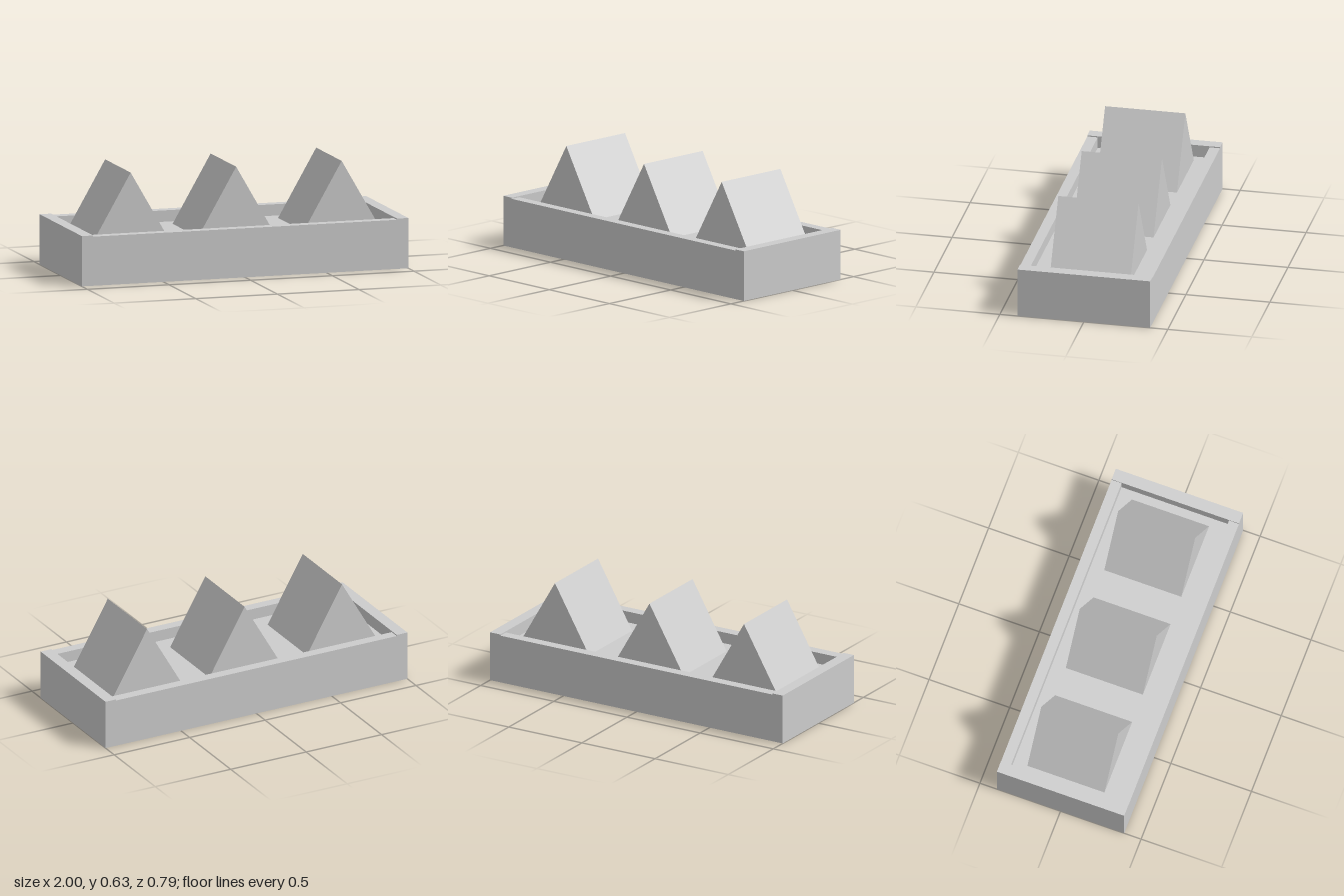
import * as THREE from 'three';

export function createModel() {
  const model = new THREE.Group();
  const grey = new THREE.MeshStandardMaterial({ color: 0xcccccc });
  grey.name = 'light grey';

  const halfX = 1, halfZ = 0.395, innerX = 0.93, innerZ = 0.333;
  const floorY = 0.223, endY = 0.297, sideY = 0.29;

  function box(name, x0, x1, y0, y1, z0, z1) {
    const mesh = new THREE.Mesh(new THREE.BoxGeometry(x1 - x0, y1 - y0, z1 - z0), grey);
    mesh.position.set((x0 + x1) / 2, (y0 + y1) / 2, (z0 + z1) / 2);
    mesh.name = name;
    model.add(mesh);
  }

  // Tray: raised floor inside four walls, the end walls slightly taller
  box('trayFloor', -innerX, innerX, 0, floorY, -innerZ, innerZ);
  box('leftEndWall', innerX, halfX, 0, endY, -halfZ, halfZ);
  box('rightEndWall', -halfX, -innerX, 0, endY, -halfZ, halfZ);
  box('frontWall', -innerX, innerX, 0, sideY, innerZ, halfZ);
  box('backWall', -innerX, innerX, 0, sideY, -halfZ, -innerZ);

  // Three triangular prisms standing in a row on the floor
  const profile = new THREE.Shape([
    new THREE.Vector2(-0.233, floorY),
    new THREE.Vector2(0.233, floorY),
    new THREE.Vector2(0, 0.626),
  ]);
  const prism = new THREE.ExtrudeGeometry(profile, { depth: 0.478, bevelEnabled: false });
  prism.translate(0, 0, -0.25);
  ['rightPrism', 'middlePrism', 'leftPrism'].forEach((name, i) => {
    const mesh = new THREE.Mesh(prism, grey);
    mesh.position.x = (i - 1) * 0.646;
    mesh.name = name;
    model.add(mesh);
  });

  return model;
}
